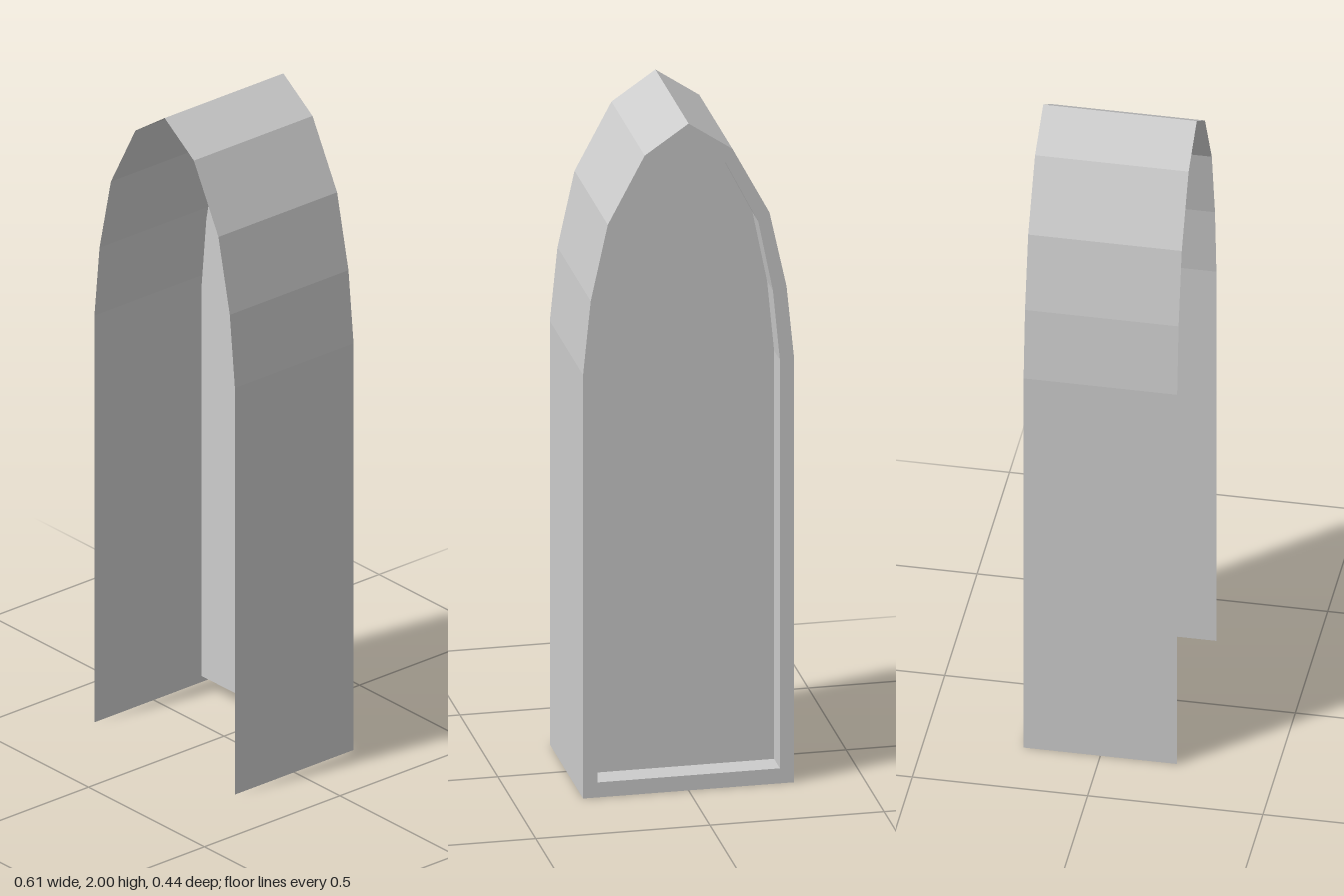
import * as THREE from 'three';

const FRONT = 0.219, BACK = -0.219, RECESS = -0.142;

// Mirror the right half of a pointed arch (bottom to apex) into a full outline
function archOutline(half) {
  const left = half.slice(0, -1).reverse().map(([x, y]) => [-x, y]);
  return [...half, ...left].map(([x, y]) => new THREE.Vector2(x, y));
}

// Flat-faceted sheet that follows an outline between two depths
function sweep(points, zNear, zFar, closed) {
  const pos = [];
  const count = closed ? points.length : points.length - 1;
  for (let i = 0; i < count; i++) {
    const a = points[i], b = points[(i + 1) % points.length];
    pos.push(a.x, a.y, zNear, a.x, a.y, zFar, b.x, b.y, zFar);
    pos.push(a.x, a.y, zNear, b.x, b.y, zFar, b.x, b.y, zNear);
  }
  const geo = new THREE.BufferGeometry();
  geo.setAttribute('position', new THREE.Float32BufferAttribute(pos, 3));
  geo.computeVertexNormals();
  return geo;
}

// Flat face turned towards the back
function backFace(shape, z) {
  return new THREE.ShapeGeometry(shape).rotateY(Math.PI).translate(0, 0, z);
}

export function createModel() {
  const group = new THREE.Group();
  group.name = 'archedNiche';
  const grey = new THREE.MeshStandardMaterial({
    color: 0xcccccc, side: THREE.DoubleSide, flatShading: true,
  });
  grey.name = 'light grey';

  const outer = archOutline([
    [0.303, 0], [0.303, 1.27], [0.281, 1.49], [0.232, 1.715], [0.126, 1.914], [0, 2],
  ]);
  const inner = archOutline([
    [0.262, 0.045], [0.262, 1.27], [0.242, 1.48], [0.2, 1.69], [0.107, 1.873], [0, 1.957],
  ]);

  const add = (name, geo) => {
    const mesh = new THREE.Mesh(geo, grey);
    mesh.name = name;
    group.add(mesh);
  };

  // Thin arched shell, open at the front and underneath
  add('archShell', sweep(outer, FRONT, BACK, false));

  // Narrow border around the recess at the back
  const rim = new THREE.Shape(outer);
  rim.holes.push(new THREE.Path(inner));
  add('backRim', backFace(rim, BACK));

  // Recess sides and the panel that closes it
  add('recessSides', sweep(inner, BACK, RECESS, true));
  add('recessPanel', backFace(new THREE.Shape(inner), RECESS));

  return group;
}
